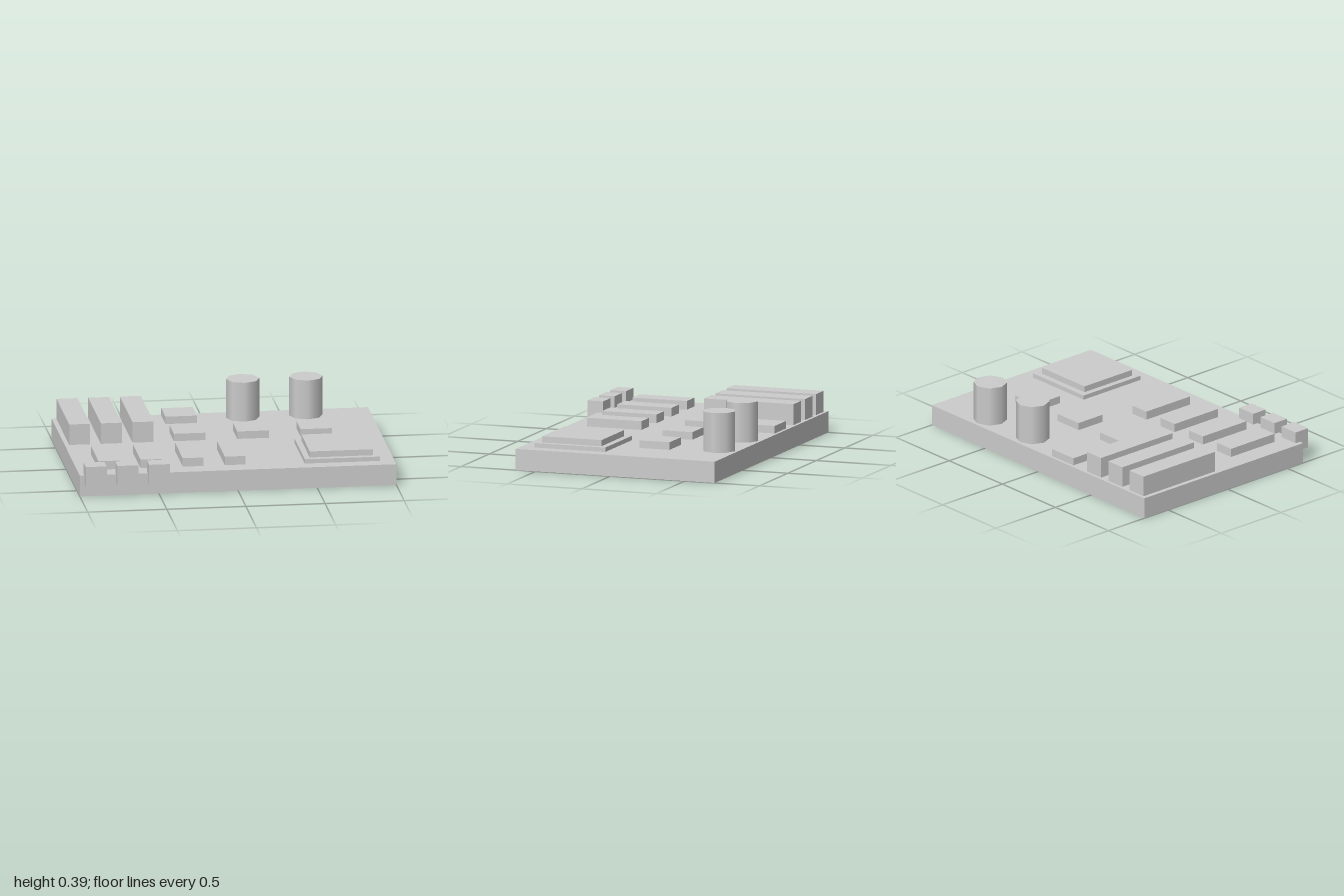
import * as THREE from 'three';

export function createModel() {
  const model = new THREE.Group();
  const grey = new THREE.MeshStandardMaterial({ color: 0xcccccc });
  grey.name = 'light grey';

  const add = (name, geometry, x, y, z) => {
    const mesh = new THREE.Mesh(geometry, grey);
    mesh.name = name;
    mesh.position.set(x, y, z);
    model.add(mesh);
  };

  // Box given by its lower and upper limits
  const block = (name, x0, x1, y0, y1, z0, z1) =>
    add(name, new THREE.BoxGeometry(x1 - x0, y1 - y0, z1 - z0),
      (x0 + x1) / 2, (y0 + y1) / 2, (z0 + z1) / 2);

  const top = 0.135; // upper face of the board
  block('board', -1, 1, 0, top, -0.7, 0.633);

  // Three expansion slots at the back, each lined up with a port at the front edge
  for (const x of [-0.905, -0.705, -0.505]) {
    block('expansionSlot', x - 0.066, x + 0.066, top, 0.268, -0.68, -0.08);
    block('frontPort', x - 0.066, x + 0.066, 0.078, 0.208, 0.595, 0.7);
  }

  // Long memory chips, evenly spaced
  for (let i = 0; i < 4; i++) {
    const x = -0.8 + i * 0.266;
    block('memoryChip', x - 0.066, x + 0.066, top, 0.19, 0.147, 0.512);
  }

  // Square chips: one at the back, three in the middle row
  for (const [x, z] of [[-0.21, -0.58], [-0.21, -0.18], [0.19, -0.18], [0.59, -0.18]]) {
    block('squareChip', x - 0.1, x + 0.1, top, 0.183, z - 0.1, z + 0.1);
  }

  // Eight-sided capacitors with smooth sides
  for (const x of [0.19, 0.59]) {
    add('capacitor', new THREE.CylinderGeometry(0.106, 0.106, 0.387 - top, 8),
      x, (0.387 + top) / 2, -0.575);
  }

  // Processor: wide socket with a smaller lid on it
  block('processorSocket', 0.433, 0.908, top, 0.163, 0.068, 0.543);
  block('processorLid', 0.47, 0.868, 0.163, 0.202, 0.108, 0.506);

  return model;
}
